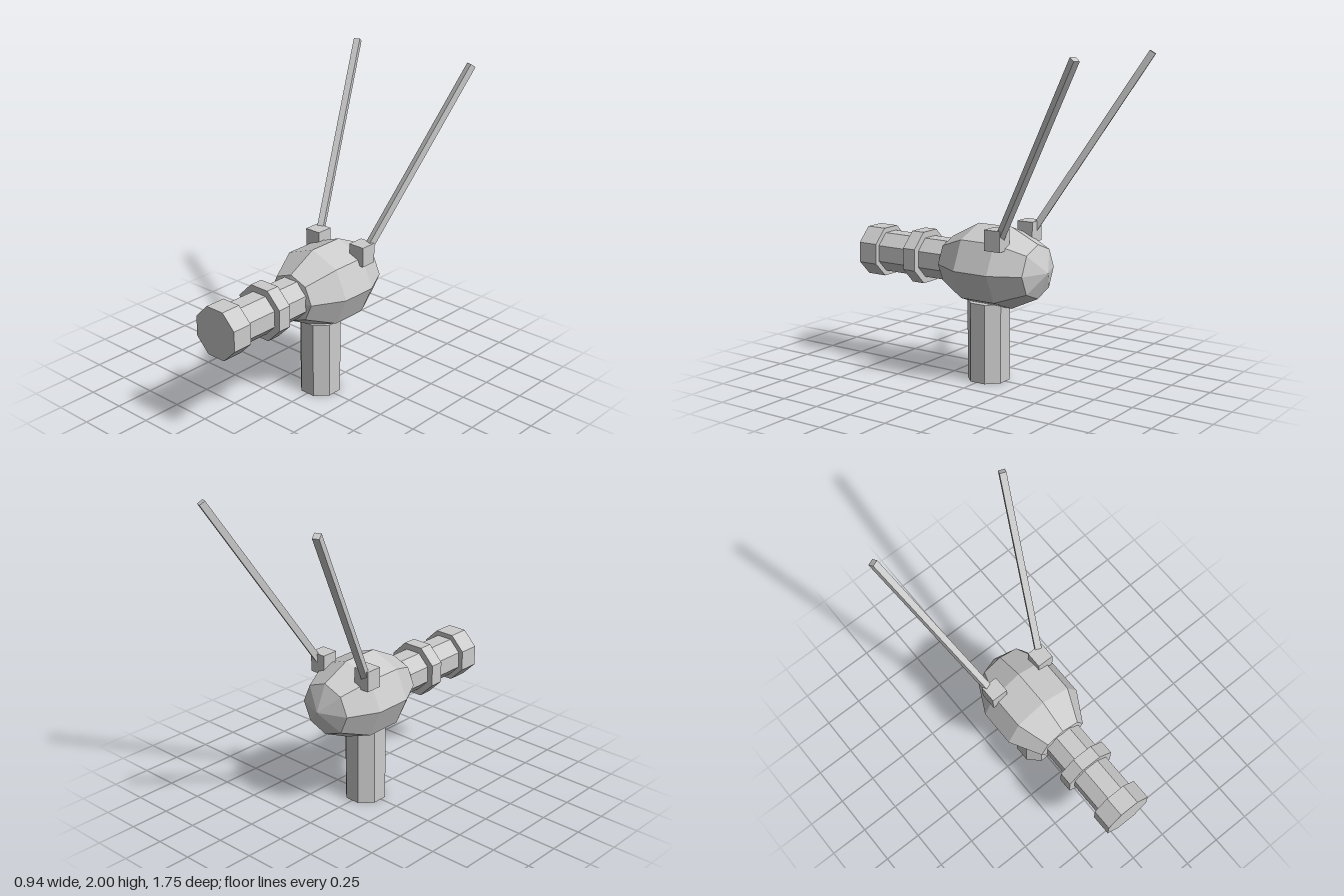
import * as THREE from 'three';

const material = new THREE.MeshStandardMaterial({ color: 0xcccccc, flatShading: true, side: THREE.DoubleSide });
const AXIS_Y = 0.71; // height of the body's long axis

export function createModel() {
  const model = new THREE.Group();

  const add = (name, geometry) => {
    const mesh = new THREE.Mesh(geometry, material);
    mesh.name = name;
    model.add(mesh);
    return mesh;
  };

  // Eight-sided prism with flat faces toward the axes, sized by its flat-to-centre distance
  const prism = (apothem, length) =>
    new THREE.CylinderGeometry(apothem / Math.cos(Math.PI / 8), apothem / Math.cos(Math.PI / 8),
      length, 8, 1, false, Math.PI / 8);

  // Faceted egg-shaped body, profile runs from back to front
  const profile = [[0, -0.43], [0.177, -0.36], [0.27, -0.175], [0.27, 0.06], [0.163, 0.25], [0, 0.27]]
    .map(([r, z]) => new THREE.Vector2(r, z));
  const bodyGeometry = new THREE.LatheGeometry(profile, 8);
  bodyGeometry.rotateX(Math.PI / 2);
  bodyGeometry.scale(1, 0.926, 1);
  add('body', bodyGeometry).position.y = AXIS_Y;

  // Barrel with its collar and muzzle
  for (const [name, apothem, back, front] of [
    ['barrel', 0.122, 0.15, 0.76],
    ['barrelCollar', 0.161, 0.43, 0.517],
    ['muzzle', 0.152, 0.74, 0.87],
  ]) {
    const geometry = prism(apothem, front - back);
    geometry.rotateX(Math.PI / 2);
    add(name, geometry).position.set(0, AXIS_Y, (front + back) / 2);
  }

  // Standing post
  add('post', prism(0.121, 0.49)).position.set(0, 0.245, -0.01);

  // Mirrored antennas, each rising outward and back from a block
  for (const [side, s] of [['left', 1], ['right', -1]]) {
    add(side + 'AntennaBlock', new THREE.BoxGeometry(0.106, 0.125, 0.106))
      .position.set(s * 0.177, 0.912, -0.187);

    const base = new THREE.Vector3(s * 0.187, 0.91, -0.207);
    const tip = new THREE.Vector3(s * 0.443, 1.99, -0.853);
    const along = tip.clone().sub(base);
    const rod = add(side + 'Antenna', new THREE.BoxGeometry(0.04, along.length(), 0.04));
    rod.position.addVectors(base, tip).multiplyScalar(0.5);
    rod.rotation.order = 'YXZ';
    rod.rotation.y = Math.atan2(along.x, along.z);
    rod.rotation.x = Math.atan2(Math.hypot(along.x, along.z), along.y);
  }

  return model;
}
